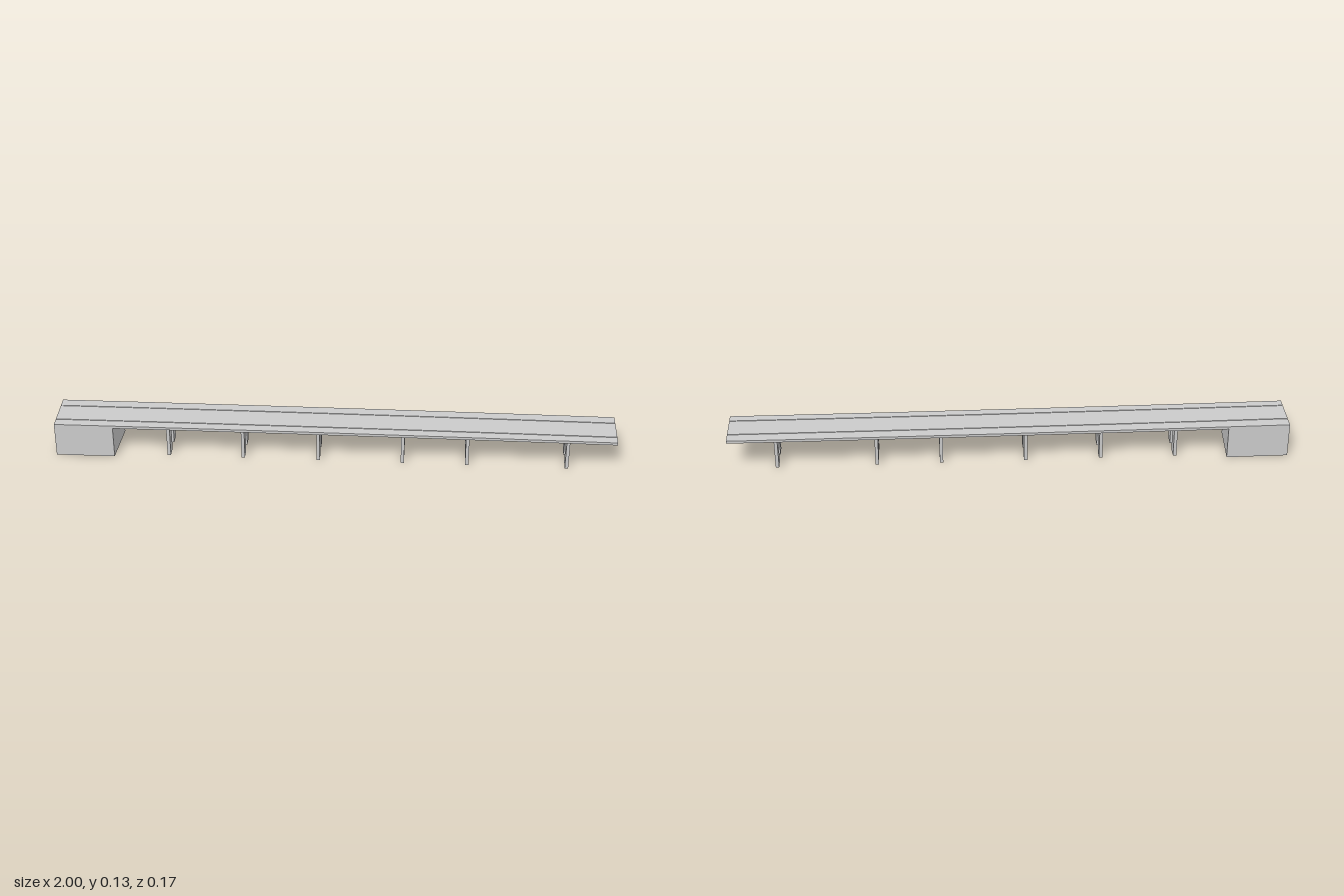
import * as THREE from 'three';

const material = new THREE.MeshStandardMaterial({ color: 0xcccccc, flatShading: true });
const DECK_BOTTOM = 0.118, DECK_TOP = 0.128, HALF_WIDTH = 0.085;

// The bridge follows a very slight curve in plan.
const bow = (x) => 0.002 - 0.004 * (1 - x * x);

function bend(geometry) {
  const p = geometry.attributes.position;
  for (let i = 0; i < p.count; i++) p.setZ(i, p.getZ(i) + bow(p.getX(i)));
  geometry.computeVertexNormals();
  return geometry;
}

function add(group, name, geometry, x = 0, y = 0, z = 0) {
  const mesh = new THREE.Mesh(geometry, material);
  mesh.name = name;
  mesh.position.set(x, y, z);
  group.add(mesh);
  return mesh;
}

export function createModel() {
  const bridge = new THREE.Group();
  bridge.name = 'bridge';

  // Deck: a thin slab with two shallow grooves along the roadway
  const grooveFloor = DECK_TOP - 0.002;
  const section = new THREE.Shape();
  section.moveTo(-HALF_WIDTH, DECK_BOTTOM);
  section.lineTo(HALF_WIDTH, DECK_BOTTOM);
  section.lineTo(HALF_WIDTH, DECK_TOP);
  for (const s of [0.043, -0.05]) {
    section.lineTo(s + 0.003, DECK_TOP);
    section.lineTo(s + 0.003, grooveFloor);
    section.lineTo(s - 0.003, grooveFloor);
    section.lineTo(s - 0.003, DECK_TOP);
  }
  section.lineTo(-HALF_WIDTH, DECK_TOP);
  const deck = new THREE.ExtrudeGeometry(section, { depth: 2, steps: 16, bevelEnabled: false });
  deck.translate(0, 0, -1).rotateY(Math.PI / 2);
  add(bridge, 'deck', bend(deck));

  // Abutment: solid block under one end, with a slightly skewed inner face
  const plan = new THREE.Shape();
  plan.moveTo(-1, -HALF_WIDTH);
  plan.lineTo(-0.79, -HALF_WIDTH);
  plan.lineTo(-0.78, HALF_WIDTH);
  plan.lineTo(-0.9, HALF_WIDTH);
  plan.lineTo(-1, HALF_WIDTH);
  const block = new THREE.ExtrudeGeometry(plan, { depth: DECK_BOTTOM, bevelEnabled: false });
  block.rotateX(-Math.PI / 2);
  add(bridge, 'abutment', bend(block));

  // Piers: pairs of thin walls
  const wall = new THREE.BoxGeometry(0.012, DECK_BOTTOM, 0.043);
  for (const x of [-0.595, -0.327, -0.057, 0.245, 0.475, 0.83]) {
    const pair = new THREE.Group();
    pair.name = 'pierPair';
    for (const z of [0.044, -0.041]) add(pair, 'pier', wall, x, DECK_BOTTOM / 2, z);
    bridge.add(pair);
  }
  return bridge;
}
